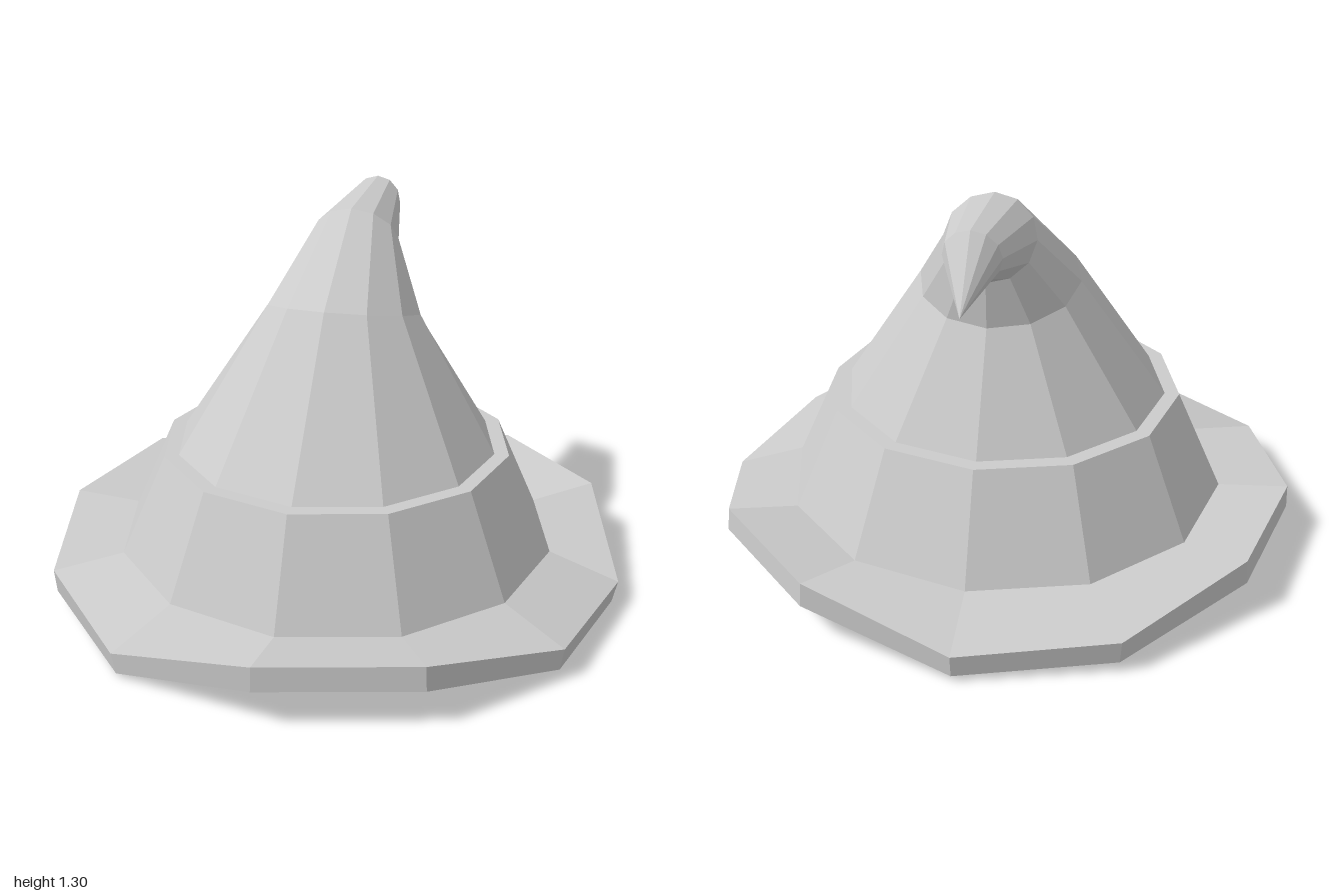
import * as THREE from 'three';

const SIDES = 12;
const material = new THREE.MeshStandardMaterial({ color: 0xcccccc });

// Tilted ring: centre height and depth, half width, and the offset of its front point
function ring(cy, cz, halfWidth, frontY, frontZ) {
  return Array.from({ length: SIDES }, (_, i) => {
    const a = (i / SIDES) * Math.PI * 2;
    return new THREE.Vector3(halfWidth * Math.sin(a), cy + frontY * Math.cos(a), cz + frontZ * Math.cos(a));
  });
}
const flatRing = (y, r) => ring(y, 0, r, 0, r);

// Skin a list of rings with four-sided facets, one normal per facet
function loft(name, rings) {
  const positions = [];
  const normals = [];
  for (let r = 0; r < rings.length - 1; r++) {
    const [lo, hi] = [rings[r], rings[r + 1]];
    for (let i = 0; i < SIDES; i++) {
      const j = (i + 1) % SIDES;
      const normal = hi[j].clone().sub(lo[i]).cross(hi[i].clone().sub(lo[j])).normalize();
      for (const v of [lo[i], lo[j], hi[j], lo[i], hi[j], hi[i]]) {
        positions.push(v.x, v.y, v.z);
        normals.push(normal.x, normal.y, normal.z);
      }
    }
  }
  const geometry = new THREE.BufferGeometry();
  geometry.setAttribute('position', new THREE.Float32BufferAttribute(positions, 3));
  geometry.setAttribute('normal', new THREE.Float32BufferAttribute(normals, 3));
  const mesh = new THREE.Mesh(geometry, material);
  mesh.name = name;
  return mesh;
}

export function createModel() {
  const hat = new THREE.Group();
  hat.name = 'pointedHat';

  // Bent crown, running down under the band to the brim
  hat.add(loft('crown', [
    flatRing(0.165, 0.74),
    flatRing(0.51, 0.553),
    ring(0.95, -0.1, 0.268, 0.07, 0.26),
    ring(1.157, -0.285, 0.148, 0.118, 0.085),
    ring(1.21, -0.575, 0.09, 0.09, -0.025),
    ring(1.1, -0.77, 0, 0, 0),
  ]));

  // Flared band with a narrow ledge around the crown
  hat.add(loft('band', [flatRing(0.165, 0.76), flatRing(0.51, 0.603), flatRing(0.51, 0.553)]));

  // Wavy brim: edge heights start at the front and go towards the left;
  // the edge stays square to the brim, so it leans with the wave
  const heights = [0.205, 0.205, 0.1, 0.08, 0.205, 0.205, 0.1, 0.115, 0.195, 0.18, 0.13, 0.09];
  const lean = (h) => 0.2 * (h - 0.165);
  const topEdge = flatRing(0, 1).map((v, i) =>
    v.multiplyScalar(1 - Math.max(0, lean(heights[i]))).setY(heights[i]));
  const bottomEdge = flatRing(0, 1).map((v, i) =>
    v.multiplyScalar(1 + Math.min(0, lean(heights[i]))).setY(heights[i] - 0.08));
  hat.add(loft('brim', [flatRing(0.08, 0.7), bottomEdge, topEdge, flatRing(0.165, 0.76)]));

  // Hollow inside, a wall's thickness within the crown
  hat.add(loft('lining', [
    ring(1.13, -0.68, 0, 0, 0),
    ring(1.19, -0.56, 0.02, 0.02, -0.005),
    ring(1.13, -0.27, 0.07, 0.055, 0.04),
    ring(0.915, -0.09, 0.195, 0.05, 0.19),
    flatRing(0.47, 0.487),
    flatRing(0.08, 0.7),
  ]));

  return hat;
}
